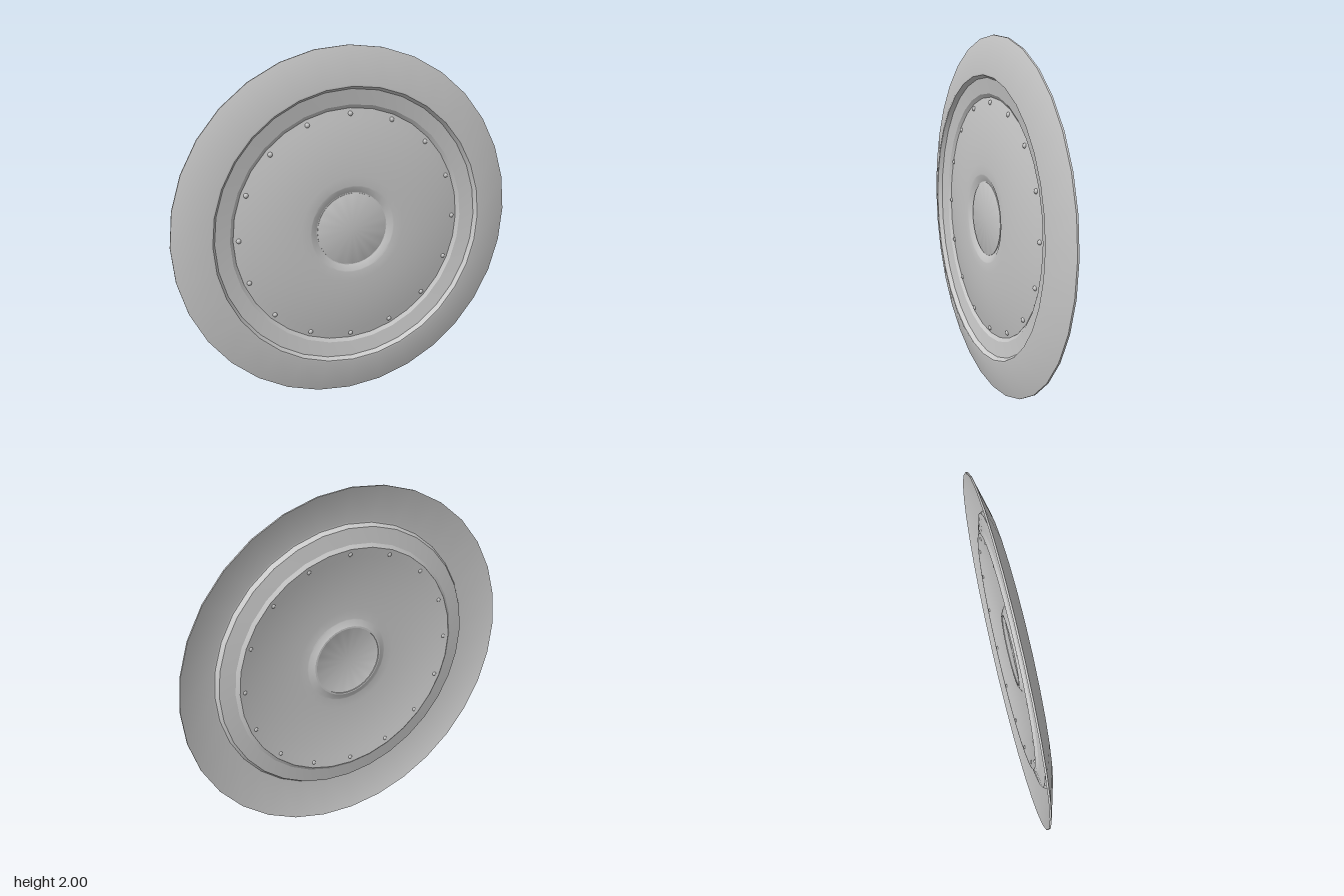
import * as THREE from 'three';
import { toCreasedNormals } from 'three/addons/utils/BufferGeometryUtils.js';

const SIDES = 32;
const THICKNESS = 0.01;
const material = new THREE.MeshStandardMaterial({ color: 0xcccccc, side: THREE.DoubleSide });

// Height of the gently domed panel at a given radius
const domeZ = (r) => 0.03 - 0.045 * ((r - 0.25) / 0.42) ** 2;

// Spins a front profile [radius, z], listed from the outside in, into a thin sheet facing +z
function sheet(name, front) {
  const back = front.map(([r, z]) => [r, z - THICKNESS]).reverse();
  const points = [...back, ...front].map(([r, z]) => new THREE.Vector2(r, z));
  points.push(points[0].clone());
  const geometry = new THREE.LatheGeometry(points, SIDES);
  geometry.rotateX(Math.PI / 2);
  const mesh = new THREE.Mesh(toCreasedNormals(geometry, 0.4), material);
  mesh.name = name;
  return mesh;
}

export function createModel() {
  const model = new THREE.Group();
  model.name = 'wheelCover';
  const disc = new THREE.Group();
  disc.name = 'disc';
  disc.position.y = 1;
  model.add(disc);

  // Sloped outer rim and the stepped channel inside it
  disc.add(sheet('outerRim', [
    [1, -0.025], [0.8, 0.035], [0.79, 0.034], [0.775, 0.01],
    [0.69, -0.002], [0.67, -0.016],
  ]));

  // Domed panel ending in a bevelled centre recess
  const dome = [];
  for (let i = 0; i <= 8; i++) {
    const r = 0.67 - (0.42 * i) / 8;
    dome.push([r, domeZ(r)]);
  }
  disc.add(sheet('domedPanel', [...dome, [0.243, 0.029], [0.21, 0.013], [0.2, 0.013]]));

  // Flat centre cap
  disc.add(sheet('centreCap', [[0.205, 0.016], [0.2, 0.018], [0, 0.018]]));

  // Ring of small rivets
  const rivets = new THREE.Group();
  rivets.name = 'rivets';
  const rivetGeometry = new THREE.SphereGeometry(0.014, 10, 8);
  for (let i = 0; i < 16; i++) {
    const angle = (i / 16) * Math.PI * 2;
    const rivet = new THREE.Mesh(rivetGeometry, material);
    rivet.name = 'rivet';
    rivet.position.set(0.64 * Math.cos(angle), 0.64 * Math.sin(angle), domeZ(0.64) - 0.003);
    rivets.add(rivet);
  }
  disc.add(rivets);

  return model;
}
